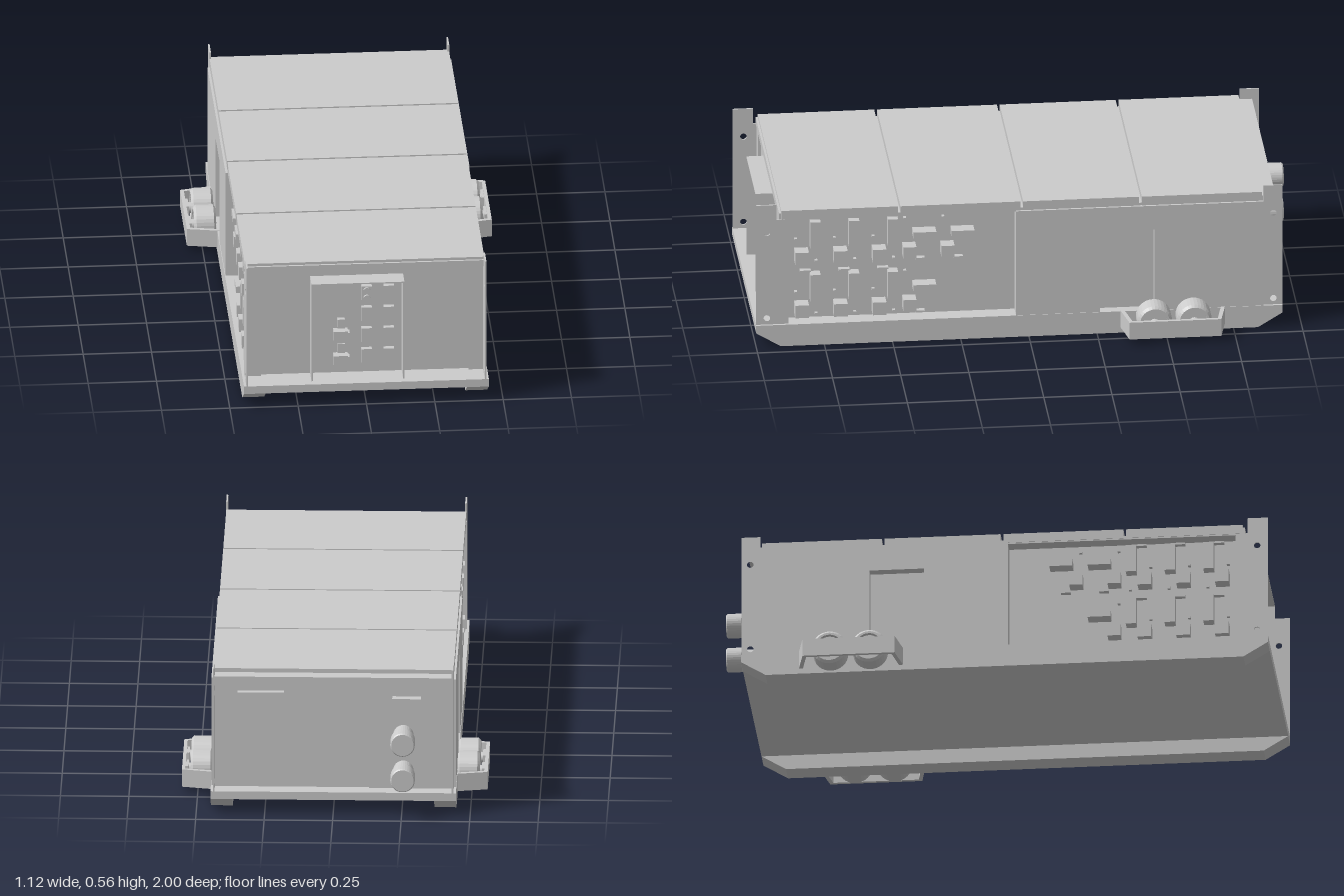
import * as THREE from 'three';

const grey = new THREE.MeshStandardMaterial({ color: 0xcccccc });

export function createModel() {
  const model = new THREE.Group();

  const add = (name, geometry, parent = model) => {
    const mesh = new THREE.Mesh(geometry, grey);
    mesh.name = name;
    parent.add(mesh);
    return mesh;
  };
  // Box given by its lower and upper limits on each axis
  const box = (name, x0, x1, y0, y1, z0, z1, parent = model) => {
    const mesh = add(name, new THREE.BoxGeometry(x1 - x0, y1 - y0, z1 - z0), parent);
    mesh.position.set((x0 + x1) / 2, (y0 + y1) / 2, (z0 + z1) / 2);
    return mesh;
  };
  const outline = (points) => new THREE.Shape(points.map(([a, b]) => new THREE.Vector2(a, b)));
  // Side-on profile in (z, y), extruded along x from x0 to x1
  const sidePlate = (name, shape, x0, x1, parent) => {
    const g = new THREE.ExtrudeGeometry(shape, { depth: x1 - x0, bevelEnabled: false, curveSegments: 8 });
    g.applyMatrix4(new THREE.Matrix4().set(0, 0, 1, x0, 0, 1, 0, 0, -1, 0, 0, 0, 0, 0, 0, 1));
    return add(name, g, parent);
  };
  // sidePlate maps shape x to -z, so profiles are written with z negated
  const profile = (points) => outline(points.map(([z, y]) => [-z, y]));

  // Floor, core and end walls
  box('floor', -0.447, 0.447, 0.055, 0.085, -0.93, 1);
  box('core', -0.385, 0.385, 0.085, 0.497, -0.86, 0.885);
  box('frontWall', -0.436, 0.436, 0.085, 0.497, 0.88, 0.9);
  box('backWall', -0.436, 0.436, 0.085, 0.497, -0.87, -0.85);
  box('frontBeam', -0.436, 0.436, 0.497, 0.525, 0.88, 0.915);
  box('backBeam', -0.436, 0.436, 0.485, 0.52, -0.905, -0.85);

  // Roof panels with narrow gaps
  box('roofDeck', -0.436, 0.436, 0.495, 0.51, -0.855, 0.9);
  for (const [z0, z1] of [[0.48, 0.907], [0.03, 0.47], [-0.405, 0.02], [-0.855, -0.415]]) {
    box('roofPanel', -0.438, 0.438, 0.5, 0.535, z0, z1);
  }

  // One side, built for +x and copied to -x
  const buildSide = () => {
    const side = new THREE.Group();

    // Skid rail with slanted ends
    sidePlate('skidRail', profile([[1, 0.085], [1, 0.055], [0.91, 0], [-0.84, 0], [-0.93, 0.055], [-0.93, 0.085]]),
      0.368, 0.448, side);

    // Side wall with a recessed doorway
    sidePlate('sideWall', profile([[0.047, 0.085], [0.047, 0.5], [-0.86, 0.5], [-0.86, 0.085],
      [-0.46, 0.085], [-0.46, 0.405], [-0.26, 0.405], [-0.26, 0.085]]), 0.38, 0.446, side);
    box('door', 0.38, 0.41, 0.085, 0.405, -0.46, -0.26, side);
    box('bayEndWall', 0.38, 0.44, 0.085, 0.5, 0.895, 0.912, side);

    // Corner plates with two lifting holes
    for (const [inner, shoulder, end, hole] of [[0.895, 0.925, 1, 0.96], [-0.85, -0.86, -0.93, -0.897]]) {
      const plate = profile([[inner, 0.085], [inner, 0.5], [shoulder, 0.5], [shoulder, 0.56], [end, 0.56], [end, 0.085]]);
      for (const y of [0.11, 0.45]) {
        const ring = new THREE.Path();
        ring.absarc(-hole, y, 0.012, 0, Math.PI * 2, true);
        plate.holes.push(ring);
      }
      sidePlate('cornerPlate', plate, 0.433, 0.439, side);
    }

    // Equipment in the open bay: tall cabinets, square boxes, wide boxes and tabs
    const unit = (name, z, y, w, h, depth) =>
      box(name, 0.38, 0.385 + depth, y - h / 2, y + h / 2, z - w / 2, z + w / 2, side);
    for (const drop of [0, 0.21]) {
      for (const z of [0.78, 0.638, 0.496]) {
        unit('tallCabinet', z, 0.425 - drop, 0.038, 0.106, 0.04);
        unit('squareBox', z + 0.05, 0.338 - drop, 0.05, 0.05, 0.05);
        unit('upperTab', z + 0.035, 0.485 - drop, 0.04, 0.007, 0.02);
        unit('sideTab', z + 0.07, 0.4 - drop, 0.01, 0.007, 0.015);
        unit('lowerTab', z - 0.005, 0.312 - drop, 0.01, 0.007, 0.015);
      }
      for (const z of drop ? [0.38] : [0.38, 0.24]) {
        unit('wideBox', z, 0.413 - drop, 0.084, 0.026, 0.05);
        unit('squareBox', z + 0.055, 0.345 - drop, 0.048, 0.046, 0.05);
        unit('upperTab', z + 0.07, 0.468 - drop, 0.01, 0.007, 0.015);
        unit('lowerTab', z + 0.015, 0.308 - drop, 0.035, 0.007, 0.02);
      }
    }

    // Wheel pair
    for (const z of [-0.455, -0.6]) {
      const tyre = [[0, 0], [0.055, 0], [0.064, 0.008], [0.064, 0.072], [0.055, 0.081],
        [0.047, 0.081], [0.045, 0.068], [0, 0.068]].map(([r, h]) => new THREE.Vector2(r, h));
      const g = new THREE.LatheGeometry(tyre, 32).toNonIndexed();
      g.computeVertexNormals();
      const wheel = add('wheel', g, side);
      wheel.rotation.z = -Math.PI / 2;
      wheel.position.set(0.447, 0.068, z);
      const axle = add('axle', new THREE.CylinderGeometry(0.02, 0.02, 0.12, 16), side);
      axle.rotation.z = Math.PI / 2;
      axle.position.set(0.487, 0.06, z);
      box('axleBlock', 0.535, 0.548, 0.03, 0.08, z - 0.035, z + 0.035, side);
    }

    // Guard strip bent around the wheels, outlined in (x, -z)
    const guard = outline([[0.44, 0.335], [0.558, 0.358], [0.558, 0.695], [0.44, 0.72],
      [0.44, 0.705], [0.545, 0.683], [0.545, 0.37], [0.44, 0.35]]);
    const guardGeometry = new THREE.ExtrudeGeometry(guard, { depth: 0.067, bevelEnabled: false });
    guardGeometry.rotateX(-Math.PI / 2).translate(0, 0.02, 0);
    add('wheelGuard', guardGeometry, side);
    return side;
  };

  const left = buildSide();
  left.name = 'leftSide';
  const right = buildSide();
  right.name = 'rightSide';
  right.scale.x = -1;
  model.add(left, right);

  // Front control panel inside a thin hood
  box('hoodSide', -0.199, -0.194, 0.085, 0.475, 0.895, 0.972);
  box('hoodSide', 0.136, 0.141, 0.085, 0.475, 0.895, 0.972);
  box('hoodTop', -0.199, 0.141, 0.47, 0.475, 0.895, 0.972);
  for (const y of [0.152, 0.236, 0.32, 0.405]) {
    for (const x of [0.007, 0.088]) {
      box('switchBox', x - 0.019, x + 0.019, y - 0.031, y + 0.031, 0.895, 0.92);
    }
  }
  for (const y of [0.39, 0.42]) {
    const dial = add('dial', new THREE.CylinderGeometry(0.013, 0.013, 0.01, 20));
    dial.rotation.x = Math.PI / 2;
    dial.position.set(0.007, y, 0.923);
  }
  for (const y of [0.142, 0.24]) {
    box('socketBody', -0.115, -0.062, y - 0.023, y + 0.023, 0.895, 0.935);
    box('socketEnd', -0.062, -0.056, y - 0.016, y + 0.016, 0.895, 0.93);
    box('socketCap', -0.1, -0.073, y + 0.029, y + 0.065, 0.895, 0.92);
  }

  // Back: cabinet, connection panel, pipe stubs and hook
  box('backCabinet', 0.18, 0.35, 0.26, 0.455, -0.892, -0.865);
  box('connectionPanel', -0.434, -0.13, 0.085, 0.485, -0.878, -0.865);
  for (const y of [0.155, 0.292]) {
    const pipe = [[0, 0], [0.037, 0], [0.037, 0.065], [0.045, 0.07], [0.045, 0.122], [0.041, 0.127], [0, 0.127]]
      .map(([r, h]) => new THREE.Vector2(r, h));
    const g = new THREE.LatheGeometry(pipe, 32).toNonIndexed();
    g.computeVertexNormals();
    const stub = add('pipeStub', g);
    stub.rotation.x = -Math.PI / 2;
    stub.position.set(-0.255, y, -0.873);
  }
  box('hookBar', -0.32, -0.215, 0.425, 0.44, -0.91, -0.87);
  for (const x of [-0.32, -0.23]) box('hookArm', x, x + 0.015, 0.4, 0.44, -0.91, -0.895);

  return model;
}
